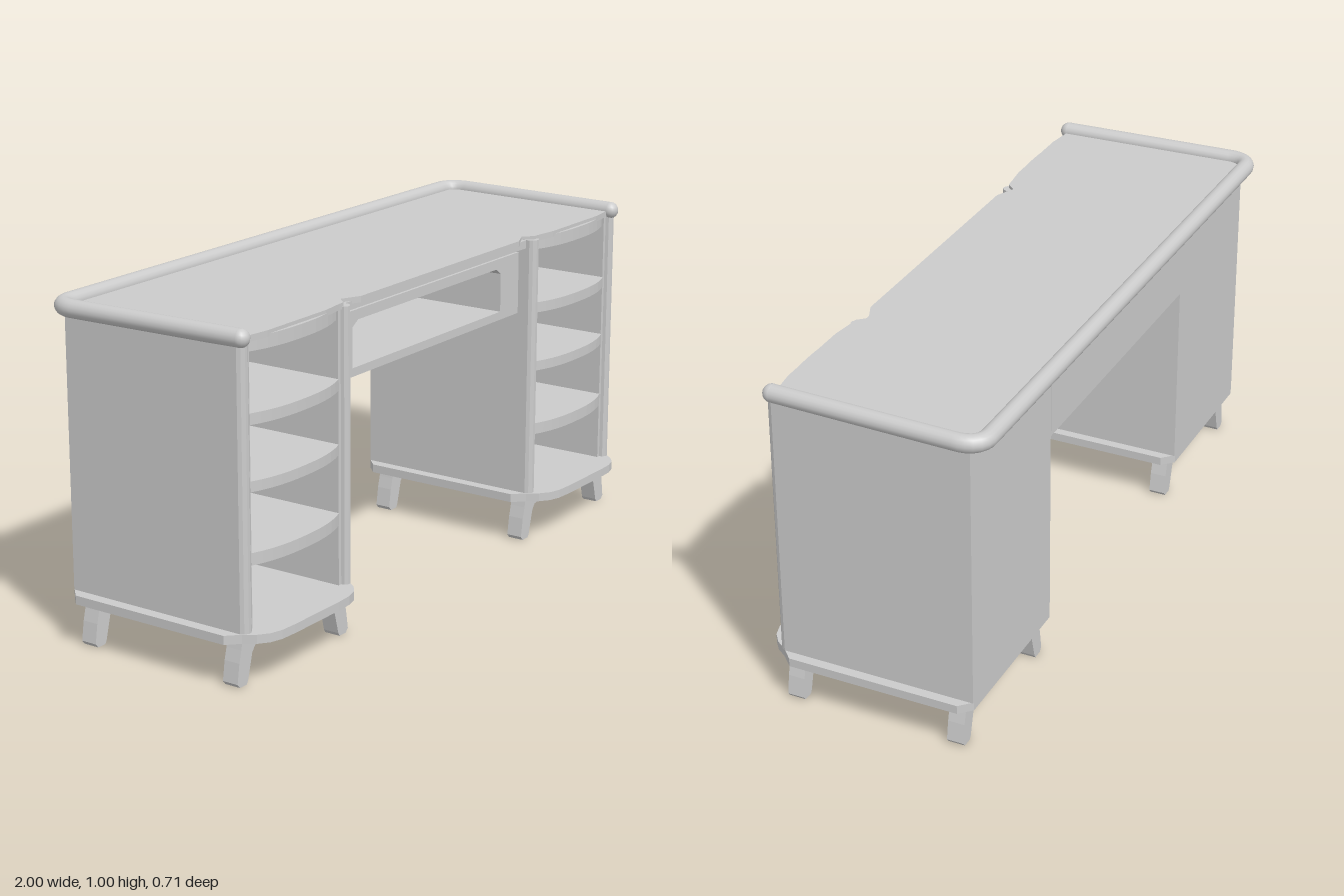
import * as THREE from 'three';

const material = new THREE.MeshStandardMaterial({ color: 0xcccccc });

function add(parent, name, geometry) {
  const mesh = new THREE.Mesh(geometry, material);
  mesh.name = name;
  parent.add(mesh);
  return mesh;
}

// Box given by its min and max corners
function box(x0, x1, y0, y1, z0, z1) {
  return new THREE.BoxGeometry(x1 - x0, y1 - y0, z1 - z0)
    .translate((x0 + x1) / 2, (y0 + y1) / 2, (z0 + z1) / 2);
}

// Plan outline in [x, z] points, raised from y0 to y1
function slab(points, y0, y1) {
  const shape = new THREE.Shape(points.map(([x, z]) => new THREE.Vector2(x, -z)));
  return new THREE.ExtrudeGeometry(shape, { depth: y1 - y0, bevelEnabled: false })
    .rotateX(-Math.PI / 2).translate(0, y0, 0);
}

// Half of an outline (x > 0), completed by its mirror image
const mirrored = (half) => [...half, ...half.map(([x, z]) => [-x, z]).reverse()];

function createLeg() {
  const profile = [[-0.23, 0.132], [-0.143, 0.132], [-0.143, 0.106], [-0.175, 0.102], [-0.188, 0.085],
    [-0.208, 0.01], [-0.214, 0], [-0.244, 0], [-0.254, 0.012], [-0.245, 0.07], [-0.236, 0.105]];
  const shape = new THREE.Shape(profile.map(([x, y]) => new THREE.Vector2(x, y)));
  return new THREE.ExtrudeGeometry(shape, { depth: 0.05, bevelEnabled: false }).translate(0, 0, -0.025);
}

function createPedestal(x) {
  const pedestal = new THREE.Group();
  pedestal.name = 'pedestal';
  pedestal.position.x = x;

  // Base plate with bowed front and clipped corners
  add(pedestal, 'basePlate', slab(mirrored([
    [0.245, -0.305], [0.28, -0.27], [0.28, 0.25], [0.245, 0.285],
    [0.222, 0.318], [0.192, 0.341], [0.155, 0.352], [0.1, 0.355],
  ]), 0.13, 0.156));

  // Side walls ending in stepped, rounded front posts
  for (const [outer, inner] of [[-0.246, -0.192], [0.251, 0.204]]) {
    const at = (t) => outer + (inner - outer) * t;
    add(pedestal, 'sideWall', slab([
      [at(1), -0.3], [outer, -0.3], [outer, 0.28], [at(0.1), 0.29], [at(0.3), 0.297],
      [at(0.5), 0.297], [at(0.7), 0.29], [at(0.75), 0.28], [at(1), 0.28],
    ], 0.156, 0.96));
  }
  add(pedestal, 'backPanel', box(-0.246, 0.251, 0.156, 0.96, -0.305, -0.285));

  // Bow-fronted shelves, the top one set back a little
  for (const [y0, y1, front] of [[0.335, 0.37, 0.314], [0.54, 0.57, 0.314],
    [0.725, 0.757, 0.314], [0.922, 0.96, 0.305]]) {
    const bow = [];
    for (let i = 0; i <= 12; i++) {
      const t = 1 - i / 6;
      bow.push([0.006 + 0.199 * t, front - 0.033 * Math.abs(t) ** 2.5]);
    }
    add(pedestal, 'shelf', slab([[-0.193, -0.29], [0.205, -0.29], ...bow], y0, y1));
  }

  // Hooked legs at the four corners
  for (const side of [0, 1]) {
    for (const z of [0.25, -0.25]) {
      const leg = add(pedestal, 'leg', createLeg());
      leg.position.z = z;
      leg.rotation.y = side * Math.PI;
    }
  }
  return pedestal;
}

function createKneeSection() {
  const knee = new THREE.Group();
  knee.name = 'kneeSection';

  // Apron with an open compartment
  const apron = new THREE.Shape([[-0.471, 0.73], [0.471, 0.73], [0.471, 0.92], [-0.471, 0.92]]
    .map(([x, y]) => new THREE.Vector2(x, y)));
  apron.holes.push(new THREE.Path([[-0.4, 0.755], [-0.4, 0.872], [-0.372, 0.89],
    [0.345, 0.89], [0.37, 0.872], [0.37, 0.755]].map(([x, y]) => new THREE.Vector2(x, y))));
  add(knee, 'apron', new THREE.ExtrudeGeometry(apron, { depth: 0.53, bevelEnabled: false })
    .translate(0, 0, -0.285));
  add(knee, 'apronBack', box(-0.471, 0.471, 0.73, 0.96, -0.305, -0.28));
  // Shadow gap between the apron and the rail under the top
  add(knee, 'topRail', box(-0.471, 0.471, 0.935, 0.96, -0.285, 0.27));
  return knee;
}

function createRail() {
  const y = 0.97, r = 0.026;
  const v = (x, z) => new THREE.Vector3(x, y, z);
  const path = new THREE.CurvePath();
  path.add(new THREE.LineCurve3(v(-0.953, 0.285), v(-0.972, -0.275)));
  path.add(new THREE.QuadraticBezierCurve3(v(-0.972, -0.275), v(-0.968, -0.328), v(-0.92, -0.333)));
  path.add(new THREE.LineCurve3(v(-0.92, -0.333), v(0.92, -0.333)));
  path.add(new THREE.QuadraticBezierCurve3(v(0.92, -0.333), v(0.968, -0.328), v(0.972, -0.275)));
  path.add(new THREE.LineCurve3(v(0.972, -0.275), v(0.953, 0.285)));
  const rail = new THREE.Group();
  rail.name = 'rail';
  add(rail, 'railTube', new THREE.TubeGeometry(path, 200, r, 16));
  // Rounded rail ends
  for (const s of [-1, 1]) {
    add(rail, 'railEnd', new THREE.SphereGeometry(r, 16, 12).translate(s * 0.953, y, 0.285));
  }
  return rail;
}

export function createModel() {
  const desk = new THREE.Group();
  desk.name = 'desk';

  // Top board, sunk between the rails and notched beside the knee space
  add(desk, 'topBoard', slab(mirrored([
    [0.93, -0.325], [0.965, -0.29], [0.945, 0.283], [0.92, 0.285], [0.85, 0.294], [0.59, 0.294],
    [0.52, 0.285], [0.495, 0.283], [0.47, 0.255], [0.455, 0.262], [0.41, 0.282],
  ]), 0.952, 0.97));

  desk.add(createRail(), createKneeSection(), createPedestal(-0.72), createPedestal(0.72));
  return desk;
}
